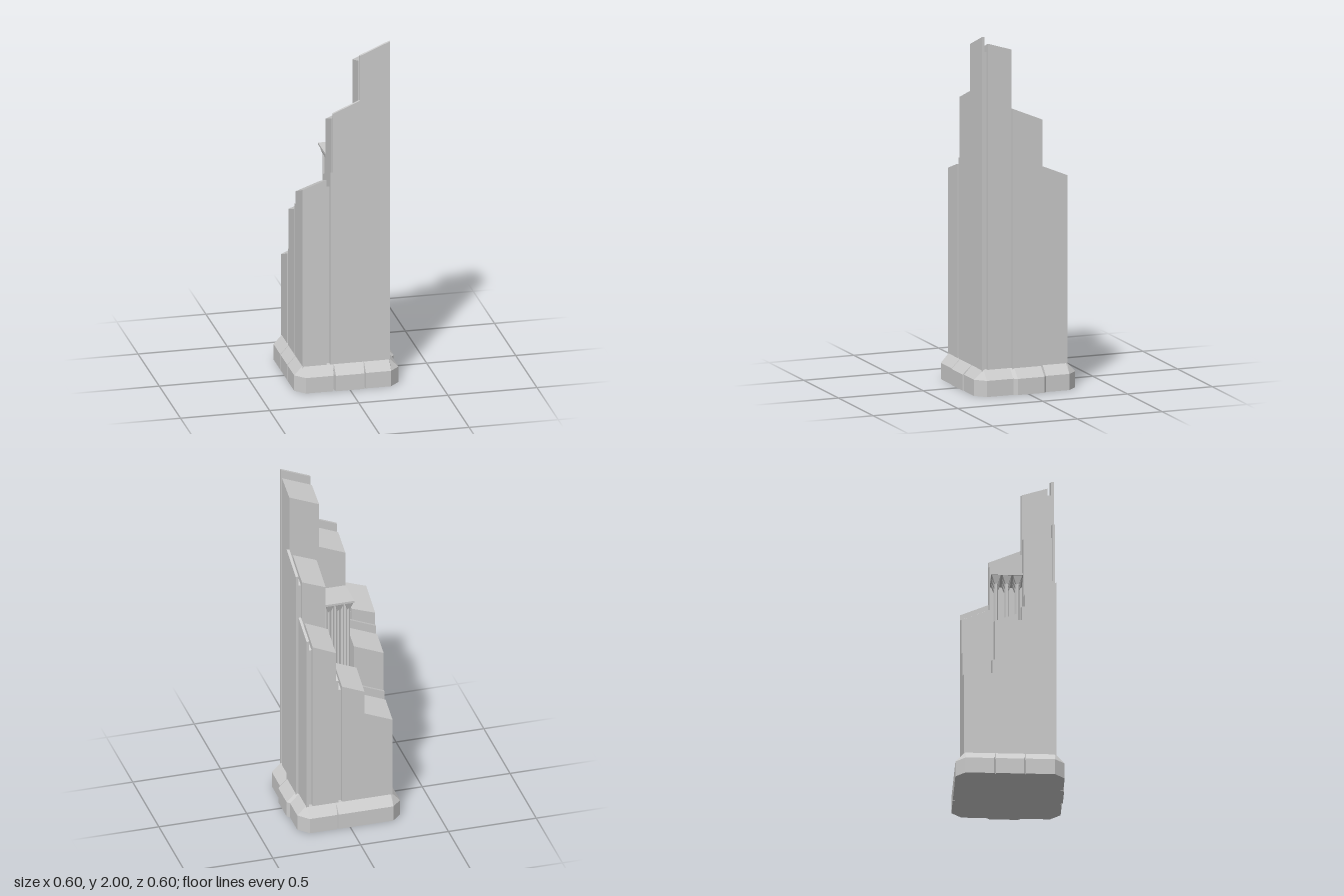
import * as THREE from 'three';

const material = new THREE.MeshStandardMaterial({ color: 0xcccccc, flatShading: true, side: THREE.DoubleSide });
const FLOOR = 0.13;
const ALONG = 0.42; // roof slope along the fin

function addMesh(parent, name, geometry) {
  const mesh = new THREE.Mesh(geometry, material);
  mesh.name = name;
  parent.add(mesh);
  return mesh;
}

// Upright block whose top follows the rule top(x, z)
function prism(x0, x1, z0, z1, top) {
  const g = new THREE.BoxGeometry(x1 - x0, 1, z1 - z0);
  g.translate((x0 + x1) / 2, 0, (z0 + z1) / 2);
  const p = g.attributes.position;
  for (let i = 0; i < p.count; i++) {
    p.setY(i, p.getY(i) > 0 ? top(p.getX(i), p.getZ(i)) : FLOOR);
  }
  g.computeVertexNormals();
  return g;
}

// Tower: slanted shaft, recessed joint strip and a taller thin fin on its +x or +z side.
// The peak is the shaft's height at its (+x, +z) corner.
function tower(name, axis, [x0, x1, z0, z1], peak, across) {
  const group = new THREE.Group();
  group.name = name;
  const fin = 0.015, gap = 0.02, inset = 0.022;
  const onX = axis === 'x';
  const sx = onX ? x1 - fin - gap : x1;
  const sz = onX ? z1 : z1 - fin - gap;
  const slopeX = onX ? across : ALONG;
  const slopeZ = onX ? ALONG : across;
  const drop = (x, z) => ALONG * (onX ? z1 - z : x1 - x);

  addMesh(group, 'shaft', prism(x0, sx, z0, sz,
    (x, z) => peak - slopeX * (sx - x) - slopeZ * (sz - z)));
  const joint = (x, z) => peak - 0.04 - drop(x, z);
  const finTop = (x, z) => peak + 0.04 - drop(x, z);
  if (onX) {
    addMesh(group, 'joint', prism(sx, sx + gap, z0 + inset, z1 - inset, joint));
    addMesh(group, 'fin', prism(x1 - fin, x1, z0, z1, finTop));
  } else {
    addMesh(group, 'joint', prism(x0 + inset, x1 - inset, sz, sz + gap, joint));
    addMesh(group, 'fin', prism(x0, x1, z1 - fin, z1, finTop));
  }
  return group;
}

// Chamfered plinth with cut corners, seam notches and two slightly raised sides
function plinth() {
  const outline = [
    [-0.3, -0.248], [-0.3, -0.09], [-0.268, -0.086], [-0.3, -0.082],
    [-0.3, 0.074], [-0.272, 0.078], [-0.3, 0.082], [-0.3, 0.24],
    [-0.247, 0.295], [-0.092, 0.295], [-0.086, 0.268], [-0.08, 0.3],
    [0.079, 0.3], [0.084, 0.268], [0.089, 0.295], [0.23, 0.295],
    [0.285, 0.24], [0.285, 0.085], [0.3, 0.065], [0.3, -0.092],
    [0.285, -0.108], [0.285, -0.245], [0.23, -0.302],
    [0.074, -0.302], [0.07, -0.285], [0.066, -0.302], [-0.245, -0.302],
  ];
  const clamp = THREE.MathUtils.clamp;
  const rim = outline.map(([x, z]) =>
    [clamp(x, -0.255, x > 0.29 ? 0.25 : 0.235), clamp(z, -0.255, 0.25)]);
  const centre = outline.map(() => [0, 0]);
  const rings = [[centre, 0], [outline, 0], [outline, 0.09], [rim, 0.14], [centre, 0.14]];
  const n = outline.length, position = [], index = [];
  rings.forEach(([ring, y]) => ring.forEach(([x, z]) => position.push(x, y, z)));
  for (let r = 0; r < rings.length - 1; r++) {
    for (let i = 0; i < n; i++) {
      const a = r * n + i, b = r * n + (i + 1) % n;
      if (r > 0) index.push(a, b, b + n);
      if (r < rings.length - 2) index.push(a, b + n, a + n);
    }
  }
  // Underside
  for (let i = 0; i < n; i++) index.push(0, n + (i + 1) % n, n + i);
  const g = new THREE.BufferGeometry();
  g.setAttribute('position', new THREE.Float32BufferAttribute(position, 3));
  g.setIndex(index);
  const flat = g.toNonIndexed();
  flat.computeVertexNormals();
  return flat;
}

// Flat canopy on slender columns with flared heads
function canopy() {
  const group = new THREE.Group();
  group.name = 'centralCanopy';
  const cx = -0.003, cz = -0.012, roofY = 1.3;
  const roof = addMesh(group, 'canopyRoof', new THREE.BoxGeometry(0.165, 0.012, 0.174));
  roof.position.set(cx, roofY, cz);
  const shaft = new THREE.CylinderGeometry(0.01, 0.01, roofY - FLOOR, 6);
  const head = new THREE.CylinderGeometry(0.034, 0.01, 0.05, 4, 1, true).rotateY(Math.PI / 4);
  for (let i = -1; i <= 1; i++) {
    for (let j = -1; j <= 1; j++) {
      const x = cx + i * 0.055, z = cz + j * 0.058;
      addMesh(group, 'canopyColumn', shaft).position.set(x, (roofY + FLOOR) / 2, z);
      addMesh(group, 'columnHead', head).position.set(x, roofY - 0.03, z);
    }
  }
  return group;
}

export function createModel() {
  const model = new THREE.Group();
  model.name = 'steppedTower';
  addMesh(model, 'plinth', plinth());

  // Ring of eight towers rising towards the +x +z corner
  const towers = [
    ['backRightTower', 'z', [-0.255, -0.095, -0.255, -0.085], 0.73, 0.38],
    ['backMiddleTower', 'x', [-0.095, 0.068, -0.255, -0.1], 0.935, 0.42],
    ['backLeftTower', 'x', [0.068, 0.235, -0.255, -0.1], 1.213, 0.45],
    ['middleRightTower', 'z', [-0.255, -0.085, -0.085, 0.077], 1.058, 0.38],
    ['middleLeftTower', 'x', [0.08, 0.25, -0.1, 0.075], 1.548, 0.4],
    ['frontRightTower', 'x', [-0.255, -0.085, 0.077, 0.25], 1.223, 0.36],
    ['frontMiddleTower', 'z', [-0.085, 0.065, 0.077, 0.25], 1.627, 0.38],
    ['frontLeftTower', 'z', [0.065, 0.235, 0.075, 0.25], 1.96, 0.31],
  ];
  towers.forEach((t) => model.add(tower(...t)));
  model.add(canopy());
  return model;
}
